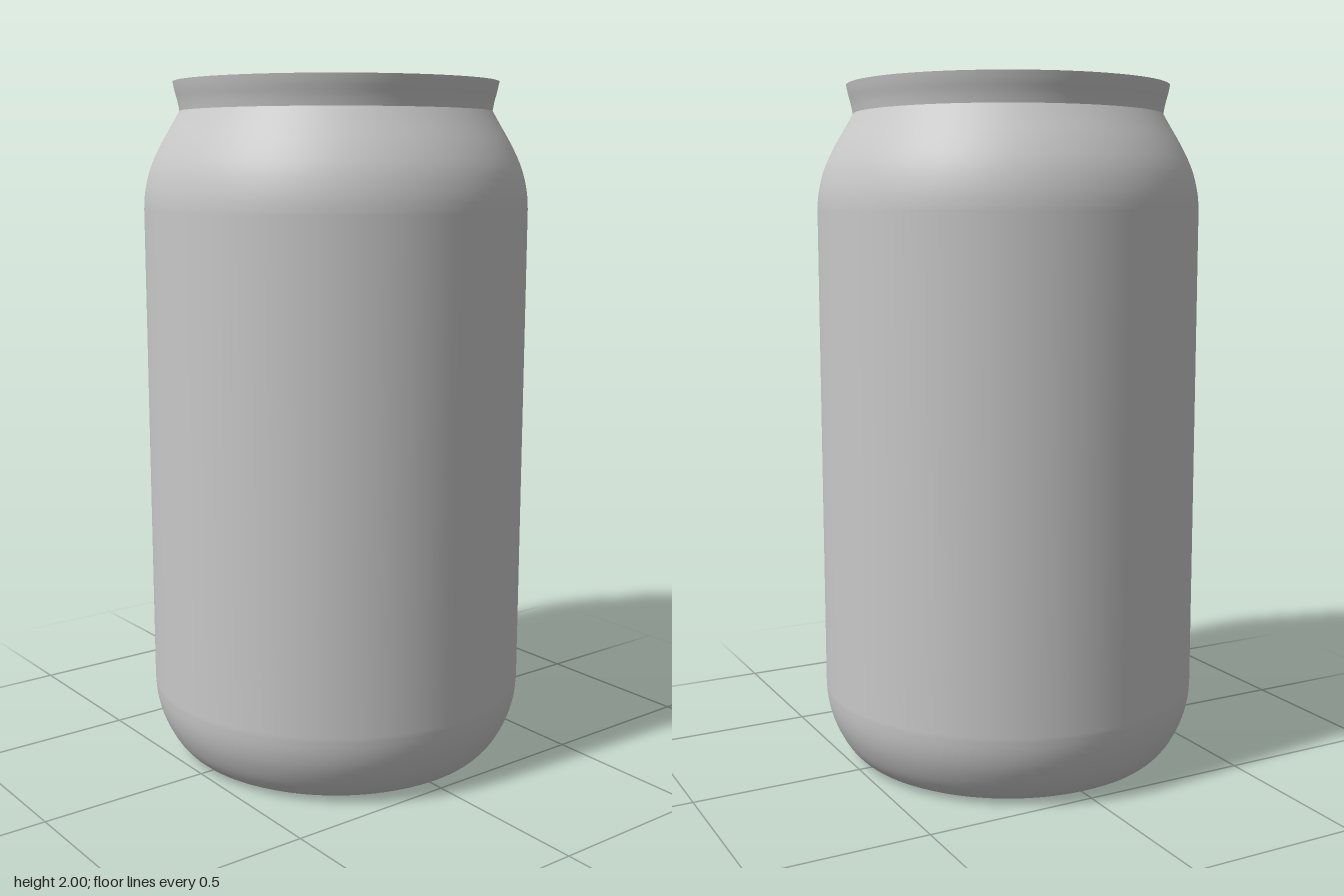
import * as THREE from 'three';

const SEG = 96;

// Smooth curve through a few [radius, height] points
function curve(pts, n) {
  return new THREE.SplineCurve(pts.map(([r, y]) => new THREE.Vector2(r, y)))
    .getPoints(n).map(p => p.setX(Math.max(0, p.x)));
}

export function createModel() {
  const group = new THREE.Group();
  const metal = new THREE.MeshStandardMaterial({ color: 0xc8c8c8 });
  metal.name = 'brushed metal';

  const add = (name, geometry, x = 0, y = 0, z = 0) => {
    const mesh = new THREE.Mesh(geometry, metal);
    mesh.name = name;
    mesh.position.set(x, y, z);
    group.add(mesh);
    return mesh;
  };
  const lathe = (name, pts) => add(name, new THREE.LatheGeometry(pts, SEG));

  // Hollow underside rising to a soft point in the middle
  lathe('underside', curve([
    [0, 0.155], [0.03, 0.14], [0.08, 0.1], [0.15, 0.065], [0.28, 0.035], [0.39, 0.012], [0.44, 0],
  ], 28));

  // Outer wall: rounded foot, straight side, shoulder
  lathe('body', [
    ...curve([[0.44, 0], [0.475, 0.015], [0.51, 0.055], [0.54, 0.115], [0.555, 0.17], [0.56, 0.22]], 16),
    ...curve([[0.56, 1.64], [0.556, 1.69], [0.54, 1.755], [0.51, 1.82], [0.475, 1.88], [0.453, 1.918]], 16),
  ]);

  // Flared neck and lip
  lathe('neck', curve([[0.453, 1.918], [0.458, 1.945], [0.466, 1.975], [0.471, 2]], 8));
  lathe('lip', curve([[0.471, 2], [0.462, 2]], 1));

  // Recessed lid with a groove around a gently domed panel
  lathe('lid', [
    ...curve([
      [0.462, 2], [0.452, 1.965], [0.443, 1.925], [0.434, 1.906],
      [0.426, 1.912], [0.416, 1.926], [0.39, 1.932], [0.34, 1.936],
    ], 30),
    new THREE.Vector2(0.2, 1.937),
    new THREE.Vector2(0, 1.937),
  ]);

  // Pull tab: oval plate with a finger hole and a notch in one side
  const tab = new THREE.Shape();
  tab.moveTo(0, -0.046);
  tab.bezierCurveTo(0.032, -0.046, 0.05, -0.005, 0.05, 0.035);
  tab.bezierCurveTo(0.05, 0.075, 0.035, 0.1, 0, 0.102);
  tab.lineTo(-0.028, 0.094);
  tab.lineTo(-0.049, 0.047);
  tab.lineTo(0.006, 0.033);
  tab.lineTo(-0.049, 0.02);
  tab.bezierCurveTo(-0.047, -0.015, -0.03, -0.046, 0, -0.046);
  const hole = new THREE.Path();
  hole.absellipse(0, 0.065, 0.026, 0.026, 0, Math.PI * 2, true);
  tab.holes.push(hole);
  const tabGeometry = new THREE.ExtrudeGeometry(tab, {
    depth: 0.006, bevelEnabled: true, bevelThickness: 0.003, bevelSize: 0.003,
    bevelSegments: 3, curveSegments: 12,
  });
  tabGeometry.rotateX(-Math.PI / 2);
  add('pullTab', tabGeometry, 0, 1.944, 0);

  // Rivet holding the tab
  const rivet = new THREE.SphereGeometry(0.012, 20, 8, 0, Math.PI * 2, 0, Math.PI / 2);
  rivet.scale(1, 0.6, 1);
  add('rivet', rivet, 0, 1.953, -0.004);

  // Rounded mouth panel in front of the tab
  const mouth = new THREE.CylinderGeometry(0.045, 0.047, 0.008, 40);
  add('mouthPanel', mouth, 0, 1.939, 0.058);

  return group;
}
